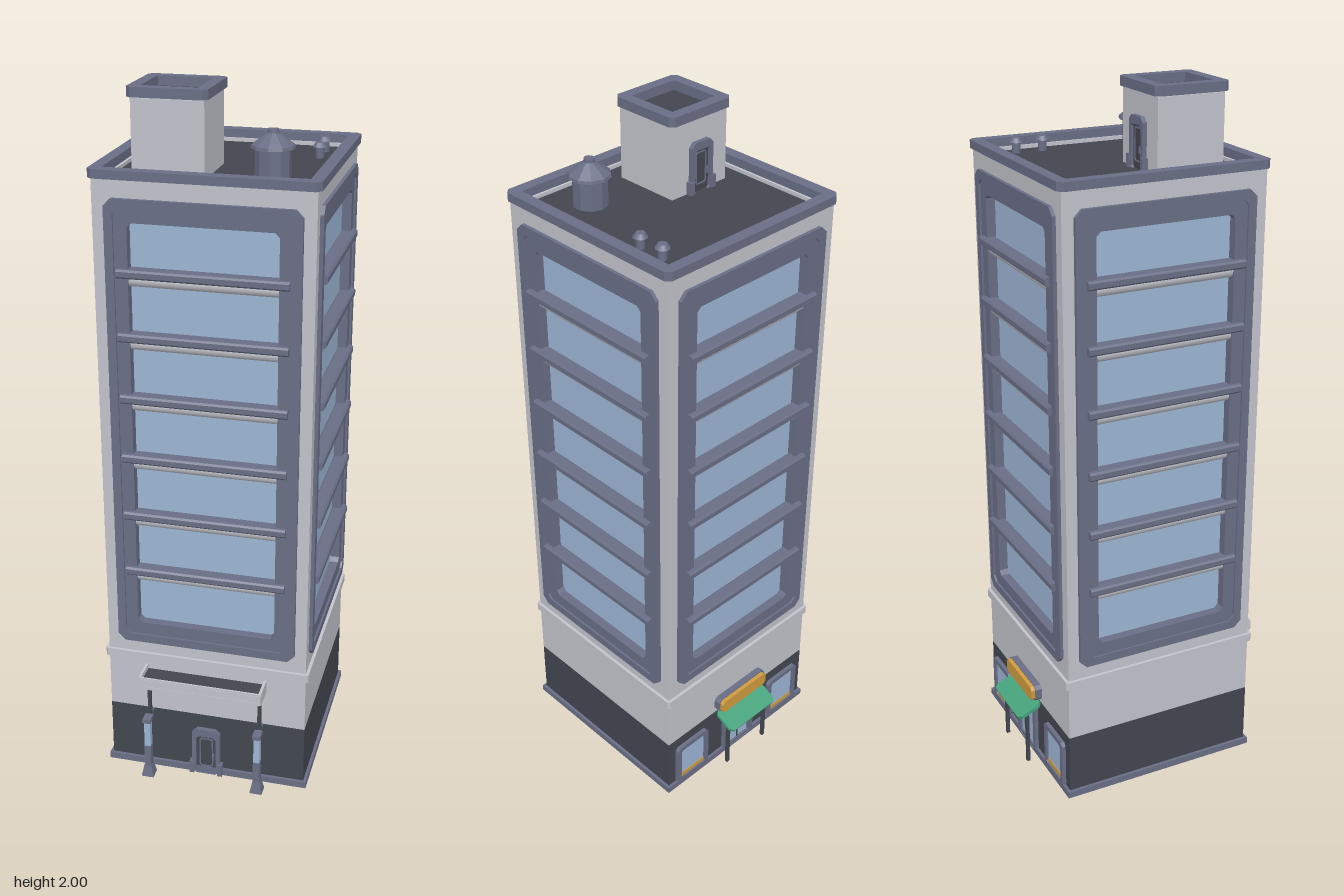
import * as THREE from 'three';

const paint = (name, color) => {
  const m = new THREE.MeshStandardMaterial({ color });
  m.name = name;
  return m;
};

export function createModel() {
  const wall = paint('pale wall', 0xc2c3cb);
  const trim = paint('slate trim', 0x696e85);
  const dark = paint('charcoal', 0x42464f);
  const glass = paint('window glass', 0x9cb6d4);
  const green = paint('awning green', 0x45a37b);
  const gold = paint('sign gold', 0xcf9c40);

  const model = new THREE.Group();
  model.name = 'officeTower';

  const add = (parent, name, geo, mat, x = 0, y = 0, z = 0) => {
    const mesh = new THREE.Mesh(geo, mat);
    mesh.name = name;
    mesh.position.set(x, y, z);
    parent.add(mesh);
    return mesh;
  };
  const box = (parent, name, mat, w, h, d, x, y, z) =>
    add(parent, name, new THREE.BoxGeometry(w, h, d), mat, x, y, z);
  const group = (parent, name, x = 0, y = 0, z = 0, turn = 0) => {
    const g = new THREE.Group();
    g.name = name;
    g.position.set(x, y, z);
    g.rotation.y = turn;
    parent.add(g);
    return g;
  };

  // Rectangle with cut corners, c = corner size
  const corners = (w, h, c) => [
    [-w / 2 + c, -h / 2], [w / 2 - c, -h / 2], [w / 2, -h / 2 + c], [w / 2, h / 2 - c],
    [w / 2 - c, h / 2], [-w / 2 + c, h / 2], [-w / 2, h / 2 - c], [-w / 2, -h / 2 + c],
  ].map(([x, y]) => new THREE.Vector2(x, y));
  // Extruded plate, optionally with an opening [w, h, c, y offset]
  const plate = (w, h, c, depth, hole) => {
    const s = new THREE.Shape(corners(w, h, c));
    if (hole) {
      const pts = corners(hole[0], hole[1], hole[2]);
      pts.forEach((p) => { p.y += hole[3] || 0; });
      s.holes.push(new THREE.Path(pts));
    }
    return new THREE.ExtrudeGeometry(s, { depth, bevelEnabled: false });
  };
  // The same plate lying flat, rising from y = 0
  const slab = (...a) => plate(...a).rotateX(-Math.PI / 2);

  const tower = group(model, 'tower', 0, 0, -0.005);

  // Base, plinth and ledge
  const H = 0.293;
  box(tower, 'plinth', [trim, trim, trim, dark, trim, trim], 0.604, 0.02, 0.604, 0, 0.01, 0);
  box(tower, 'groundFloor', dark, 2 * H, 0.18, 2 * H, 0, 0.11, 0);
  box(tower, 'upperBase', wall, 2 * H, 0.23, 2 * H, 0, 0.315, 0);
  add(tower, 'ledge', slab(0.604, 0.604, 0.006, 0.025), wall, 0, 0.367, 0);
  box(tower, 'core', dark, 0.51, 1.34, 0.51, 0, 1.1, 0);

  // Four window faces
  const midY = 1.0825;
  for (let i = 0; i < 4; i++) {
    const f = group(tower, 'windowFace', 0, 0, 0, i * Math.PI / 2);
    add(f, 'wallPanel', plate(2 * H, 1.353, 0, 0.03, [0.44, 1.22, 0, midY - 1.1065]), wall, 0, 1.1065, H - 0.03);
    add(f, 'outerFrame', plate(0.52, 1.305, 0.02, 0.012, [0.472, 1.255, 0.015]), trim, 0, midY, 0.291);
    add(f, 'innerFrame', plate(0.48, 1.262, 0, 0.03, [0.4, 1.18, 0.012]), trim, 0, midY, 0.267);
    box(f, 'glass', glass, 0.44, 1.22, 0.008, 0, midY, 0.266);
    for (let k = 0; k < 6; k++) {
      const y = 0.664 + k * 0.175;
      const sill = new THREE.ExtrudeGeometry(new THREE.Shape(corners(0.043, 0.024, 0.005)),
        { depth: 0.458, bevelEnabled: false });
      sill.translate(0, 0, -0.229).rotateY(Math.PI / 2);
      add(f, 'sill', sill, trim, 0, y, 0.2905);
      const roll = new THREE.CylinderGeometry(0.02, 0.02, 0.4, 16).rotateZ(Math.PI / 2);
      add(f, 'blindRoll', roll, wall, 0, y - 0.02, 0.274);
    }
  }

  // Roof and parapet
  box(tower, 'roofDeck', dark, 0.57, 0.01, 0.57, 0, 1.768, 0);
  add(tower, 'parapetLining', slab(0.584, 0.584, 0, 0.03, [0.54, 0.54, 0]), trim, 0, 1.765, 0);
  add(tower, 'parapetCap', slab(0.606, 0.606, 0.014, 0.024, [0.54, 0.54, 0]), trim, 0, 1.783, 0);

  // Door leaf with frame, facing +z and standing on y = 0
  const door = (parent, name, x, y, z, turn, s = 1) => {
    const d = group(parent, name, x, y, z, turn);
    d.scale.set(s, s, 1);
    add(d, 'doorFrame', plate(0.084, 0.155, 0.014, 0.014, [0.06, 0.131, 0.008, -0.012]), trim, 0, 0.0775, 0);
    box(d, 'doorLeaf', dark, 0.064, 0.14, 0.006, 0, 0.07, 0.003);
    add(d, 'doorPanel', plate(0.042, 0.1, 0.006, 0.003, [0.034, 0.092, 0.004]), trim, 0, 0.072, 0.005);
    for (const sx of [-1, 1]) box(d, 'doorFoot', trim, 0.014, 0.04, 0.018, sx * 0.043, 0.02, 0.009);
    box(d, 'handle', trim, 0.005, 0.02, 0.008, 0.022, 0.06, 0.01);
  };

  // Stair house on the roof
  const hut = group(model, 'stairHouse', -0.113, 0, 0.107);
  box(hut, 'hutWalls', wall, 0.194, 0.206, 0.194, 0, 1.868, 0);
  box(hut, 'hutRoof', dark, 0.18, 0.004, 0.18, 0, 1.9715, 0);
  add(hut, 'hutCap', slab(0.214, 0.214, 0.012, 0.026, [0.15, 0.15, 0]), trim, 0, 1.974, 0);
  door(hut, 'roofDoor', 0, 1.772, -0.096, Math.PI, 0.9);

  // Water tank and roof vents
  const tank = group(model, 'waterTank', 0.147, 1.772, 0.142);
  const tankGeo = new THREE.LatheGeometry([
    [0.047, 0], [0.047, 0.078], [0.058, 0.08], [0.056, 0.088], [0.015, 0.118], [0.014, 0.128], [0, 0.128],
  ].map(([r, y]) => new THREE.Vector2(r, y)), 10).toNonIndexed();
  tankGeo.computeVertexNormals();
  add(tank, 'tankBody', tankGeo, trim);
  for (const z of [-0.2, -0.122]) {
    const vent = group(model, 'roofVent', 0.218, 1.772, z);
    add(vent, 'ventPipe', new THREE.CylinderGeometry(0.012, 0.012, 0.034, 10), trim, 0, 0.017, 0);
    add(vent, 'ventCap', new THREE.CylinderGeometry(0.012, 0.02, 0.012, 10), trim, 0, 0.037, 0);
  }

  // Front door and canopy
  door(model, 'frontDoor', 0, 0, 0.288, 0);
  const canopy = group(model, 'frontCanopy', 0, 0.337, 0);
  box(canopy, 'canopyFloor', wall, 0.36, 0.012, 0.074, 0, -0.012, 0.332);
  box(canopy, 'canopyTop', dark, 0.346, 0.006, 0.072, 0, 0.001, 0.331);
  add(canopy, 'canopyFront', plate(0.362, 0.038, 0.005, 0.005), wall, 0, 0, 0.365);
  add(canopy, 'canopyFrontRim', plate(0.35, 0.026, 0, 0.002, [0.342, 0.018, 0]), wall, 0, 0, 0.369);
  for (const s of [-1, 1]) box(canopy, 'canopySide', wall, 0.008, 0.038, 0.07, s * 0.177, 0, 0.331);

  // Lamp posts under the canopy
  for (const s of [-1, 1]) {
    const lamp = group(model, 'lampPost', s * 0.165, 0, 0.34);
    box(lamp, 'hanger', dark, 0.01, 0.125, 0.01, 0, 0.26, -0.025);
    box(lamp, 'lampCap', trim, 0.024, 0.012, 0.034, 0, 0.195, 0);
    box(lamp, 'lampArm', trim, 0.01, 0.01, 0.05, 0, 0.195, -0.025);
    box(lamp, 'lampGlass', glass, 0.018, 0.085, 0.02, 0, 0.147, 0);
    box(lamp, 'lampStem', trim, 0.02, 0.08, 0.022, 0, 0.065, 0);
    const foot = new THREE.CylinderGeometry(0.016, 0.026, 0.035, 4).toNonIndexed();
    foot.rotateY(Math.PI / 4);
    foot.computeVertexNormals();
    add(lamp, 'lampFoot', foot, trim, 0, 0.0175, 0);
  }

  // Back entrance: local +z points out of the rear wall
  const rear = group(model, 'rearEntrance', 0, 0, -0.298, Math.PI);
  add(rear, 'entranceFrame', plate(0.13, 0.17, 0.012, 0.012, [0.1, 0.148, 0.004, -0.006]), trim, 0, 0.09, 0);
  box(rear, 'entranceBack', dark, 0.11, 0.16, 0.004, 0, 0.085, 0.002);
  for (const s of [-1, 1]) {
    box(rear, 'entrancePane', glass, 0.038, 0.125, 0.004, s * 0.024, 0.09, 0.006);
    box(rear, 'entranceHandle', trim, 0.004, 0.03, 0.006, s * 0.01, 0.08, 0.01);
    const shop = group(rear, 'shopWindow', s * 0.2, 0.09, 0);
    add(shop, 'shopFrame', plate(0.13, 0.15, 0.01, 0.012, [0.1, 0.12, 0.006]), trim);
    box(shop, 'shopGlass', glass, 0.106, 0.126, 0.004, 0, 0, 0.003);
    box(shop, 'shopStripe', gold, 0.098, 0.014, 0.004, 0, -0.053, 0.005);
    box(rear, 'awningPost', dark, 0.01, 0.178, 0.01, s * 0.08, 0.089, 0.042);
  }

  // Sloping awning and sign
  const awning = add(rear, 'awning', slab(0.194, 0.08, 0.012, 0.01), green, 0, 0.176, 0.035);
  awning.rotation.x = 0.42;
  add(rear, 'signBack', plate(0.198, 0.05, 0.01, 0.02), trim, 0, 0.237, 0);
  add(rear, 'signFace', plate(0.19, 0.044, 0.009, 0.012), gold, 0, 0.237, 0.02);

  return model;
}
